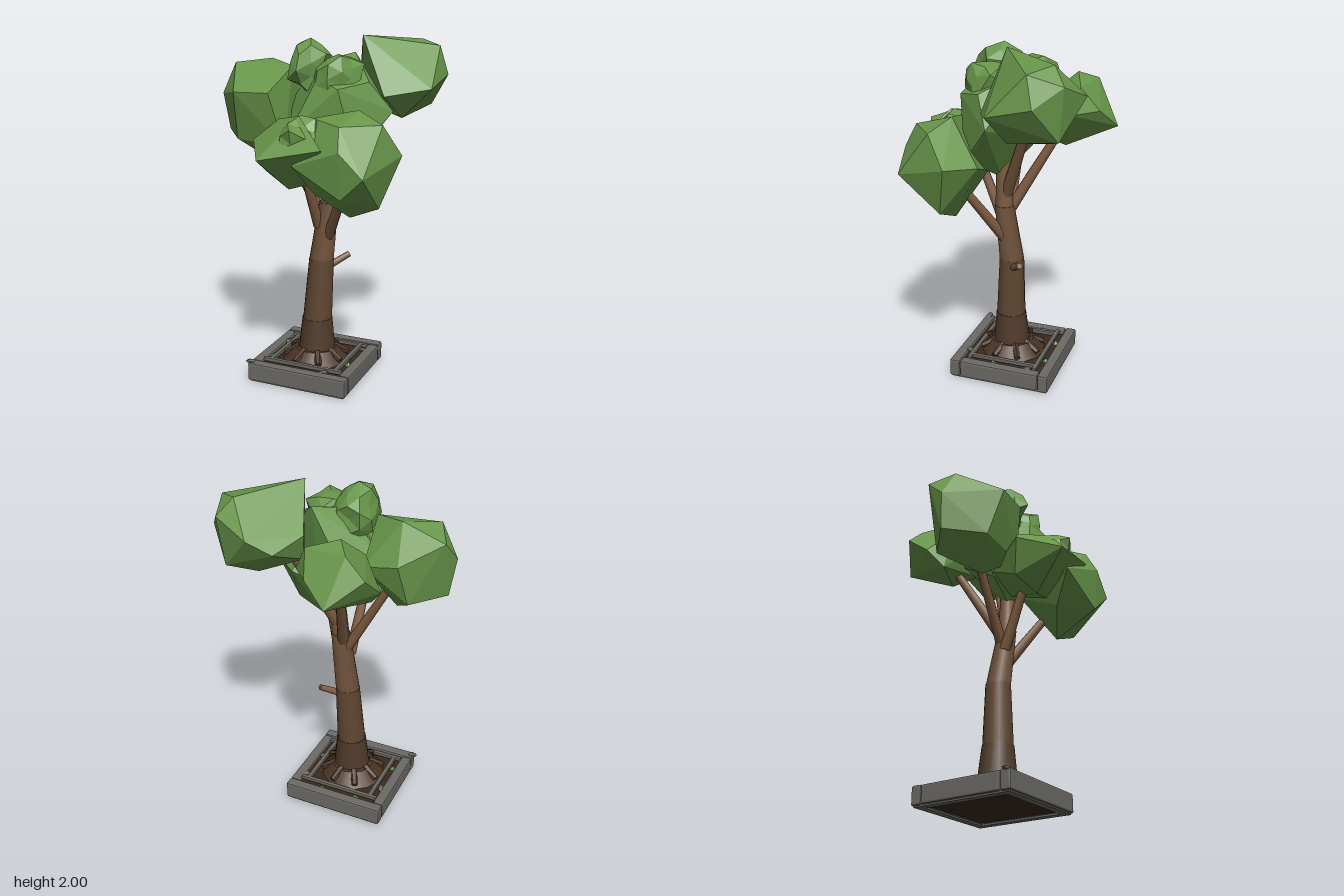
import * as THREE from 'three';
import { RoundedBoxGeometry } from 'three/addons/geometries/RoundedBoxGeometry.js';
import { ConvexGeometry } from 'three/addons/geometries/ConvexGeometry.js';

const mat = (color, flatShading = false) => new THREE.MeshStandardMaterial({ color, flatShading });
const LEAF = mat(0x68964a, true);
const STONE = mat(0x6c6a66, true);
const SOIL = mat(0x3a2a1c);
const ROOT = mat(0x4c3626, true);
const BRANCH = mat(0x7c5a3f);
const TRUNK = [0x4c3626, 0x503a29, 0x5f4631, 0x70523a, 0x7c5a3f].map((c) => mat(c));

function seeded(seed) {
  let s = seed * 7919 + 13;
  return () => (s = (s * 16807) % 2147483647) / 2147483647;
}

export function createModel() {
  const model = new THREE.Group();
  const add = (name, geometry, material, parent) => {
    const mesh = new THREE.Mesh(geometry, material);
    mesh.name = name;
    parent.add(mesh);
    return mesh;
  };
  const group = (name) => {
    const g = new THREE.Group();
    g.name = name;
    model.add(g);
    return g;
  };

  // Tapered round limb between two points
  const limb = (name, a, b, ra, rb, material, parent, sides = 10) => {
    const from = new THREE.Vector3(...a), to = new THREE.Vector3(...b);
    const dir = to.clone().sub(from);
    const mesh = add(name, new THREE.CylinderGeometry(rb, ra, dir.length(), sides), material, parent);
    mesh.position.copy(from).add(to).multiplyScalar(0.5);
    mesh.quaternion.setFromUnitVectors(new THREE.Vector3(0, 1, 0), dir.normalize());
  };

  // Planter: bevelled stone frame, soil and thin grate bars
  const planter = group('planter');
  const cx = -0.047, cz = 0.02, half = 0.308;
  const box = (name, w, h, d, x, y, z, material = STONE, bevel = 0.01) => {
    const mesh = add(name, new RoundedBoxGeometry(w, h, d, 1, bevel), material, planter);
    mesh.position.set(cx + x, y, cz + z);
  };
  for (const s of [-1, 1]) {
    box('frameBeamAcross', 2 * half, 0.108, 0.062, 0, 0.062, s * (half - 0.031));
    box('frameBeamSide', 0.062, 0.104, 2 * half - 0.128, s * (half - 0.031), 0.062, 0);
    box('frameFootAcross', 2 * half - 0.02, 0.02, 0.045, 0, 0.01, s * (half - 0.033), STONE, 0.004);
    box('frameFootSide', 0.045, 0.02, 2 * half - 0.02, s * (half - 0.033), 0.01, 0, STONE, 0.004);
    box('grateBarAcross', 0.5, 0.022, 0.024, 0, 0.114, s * 0.205, STONE, 0.004);
    box('grateBarSide', 0.024, 0.022, 0.42, s * 0.205, 0.112, 0, STONE, 0.004);
  }
  box('soil', 0.5, 0.08, 0.5, 0, 0.055, 0, SOIL, 0.004);

  // Loose chips and grass patches on the planter
  const chips = [[-0.3, 0.117, 0.28], [0.15, 0.112, 0.24], [-0.24, 0.105, -0.1], [0.24, 0.105, -0.16]];
  chips.forEach(([x, y, z], i) => {
    const chip = add('stoneChip', new THREE.DodecahedronGeometry(0.026), STONE, planter);
    chip.position.set(cx + x, y, cz + z);
    chip.scale.set(1.2, 0.45, 0.8);
    chip.rotation.y = i;
  });
  for (const [x, z] of [[-0.23, 0.12], [0.1, -0.235], [-0.12, -0.23], [0.23, 0.06]]) {
    const tuft = add('grassPatch', new THREE.ConeGeometry(0.025, 0.025, 5), LEAF, planter);
    tuft.position.set(cx + x, 0.105, cz + z);
  }

  // Trunk: level rings, each piece sheared from one centre to the next
  const trunk = group('trunk');
  const pieces = [
    // y0, x0, z0, r0, y1, x1, z1, r1
    [0.09, -0.05, 0.03, 0.2, 0.17, -0.045, 0.034, 0.13],
    [0.14, -0.038, 0.036, 0.113, 0.355, -0.033, 0.038, 0.09],
    [0.345, -0.033, 0.038, 0.087, 0.72, -0.012, 0.026, 0.073],
    [0.715, -0.012, 0.026, 0.072, 1.07, 0.045, 0.05, 0.056],
    [1.06, 0.045, 0.05, 0.052, 1.55, 0.08, 0.04, 0.036],
  ];
  pieces.forEach(([y0, x0, z0, r0, y1, x1, z1, r1], i) => {
    const g = new THREE.CylinderGeometry(r1, r0, y1 - y0, 14);
    g.translate(0, (y1 - y0) / 2, 0);
    const p = g.attributes.position;
    for (let k = 0; k < p.count; k++) {
      const t = p.getY(k) / (y1 - y0);
      p.setXYZ(k, p.getX(k) + x0 + (x1 - x0) * t, p.getY(k) + y0, p.getZ(k) + z0 + (z1 - z0) * t);
    }
    add(i ? 'trunkSection' : 'trunkFlare', g, TRUNK[i], trunk);
  });

  // Low roots around the foot
  for (let i = 0; i < 8; i++) {
    const a = (i / 8) * Math.PI * 2 + 0.3;
    const at = (r, y) => [-0.045 + r * Math.cos(a), y, 0.033 + r * Math.sin(a)];
    limb('root', at(0.1, 0.165), at(0.19, 0.122), 0.024, 0.018, ROOT, trunk, 6);
  }

  // Branches reaching into the crown
  const branches = group('branches');
  limb('frontBranch', [-0.01, 0.93, 0.07], [-0.04, 1.4, 0.27], 0.032, 0.022, BRANCH, branches);
  limb('frontLeftBranch', [0.04, 0.86, 0.05], [0.25, 1.27, 0.27], 0.032, 0.022, BRANCH, branches);
  limb('rightBranch', [0.0, 0.98, 0.04], [-0.33, 1.56, 0.05], 0.032, 0.02, BRANCH, branches);
  limb('backBranch', [0.02, 1.03, 0.03], [-0.1, 1.58, -0.28], 0.034, 0.022, BRANCH, branches);
  limb('backLeftBranch', [0.06, 1.15, 0.03], [0.25, 1.65, -0.17], 0.036, 0.024, BRANCH, branches);
  limb('branchStub', [0.04, 0.68, 0.0], [0.125, 0.735, -0.07], 0.022, 0.018, BRANCH, branches, 8);

  // Leaf clumps: faceted hulls around a few tips
  const crown = group('crown');
  const clump = (name, ...tips) =>
    add(name, new ConvexGeometry(tips.map((t) => new THREE.Vector3(...t))), LEAF, crown);
  clump('rightClump', [-0.62, 1.66, 0.06], [-0.59, 1.78, -0.06], [-0.52, 1.84, 0.08], [-0.35, 1.86, -0.05],
    [-0.17, 1.83, 0.06], [-0.59, 1.45, 0.04], [-0.43, 1.43, 0.24], [-0.4, 1.7, 0.33], [-0.2, 1.7, 0.31],
    [-0.38, 1.66, -0.18], [-0.18, 1.62, -0.16], [-0.28, 1.29, 0.1], [-0.14, 1.4, 0.24], [-0.42, 1.43, -0.12]);
  clump('backLeftClump', [0.21, 2.0, -0.03], [0.45, 1.97, -0.36], [0.58, 1.94, -0.26], [0.52, 1.88, -0.43],
    [0.62, 1.78, -0.3], [0.6, 1.72, -0.05], [0.32, 1.8, -0.49], [0.2, 1.72, -0.43], [0.5, 1.6, -0.4],
    [0.42, 1.55, -0.1], [0.36, 1.55, -0.3], [0.37, 1.68, 0.06], [0.11, 1.78, -0.26], [0.14, 1.62, -0.2]);
  clump('frontLeftClump', [0.26, 1.05, 0.26], [0.43, 1.12, 0.28], [0.1, 1.18, 0.36], [0.43, 1.32, 0.52],
    [0.3, 1.2, 0.5], [0.53, 1.4, 0.21], [0.46, 1.57, 0.32], [0.28, 1.57, 0.47], [0.3, 1.63, 0.25],
    [0.06, 1.58, 0.3], [0.02, 1.35, 0.48], [0.06, 1.27, 0.14], [0.37, 1.38, 0.08], [0.3, 1.45, 0.53]);
  clump('frontClump', [-0.28, 1.45, 0.33], [-0.15, 1.38, 0.55], [0.0, 1.45, 0.49], [-0.07, 1.19, 0.33],
    [-0.22, 1.26, 0.28], [0.2, 1.45, 0.51], [0.02, 1.6, 0.38], [-0.16, 1.56, 0.26], [0.1, 1.24, 0.3],
    [-0.18, 1.35, 0.1], [0.02, 1.28, 0.1]);
  clump('backClump', [-0.14, 1.54, -0.55], [-0.31, 1.68, -0.43], [-0.33, 1.55, -0.27], [0.0, 1.65, -0.48],
    [0.11, 1.64, -0.35], [-0.02, 1.66, -0.12], [-0.2, 1.7, -0.17], [-0.13, 1.83, -0.32], [-0.05, 1.43, -0.28],
    [-0.25, 1.45, -0.2], [-0.2, 1.79, -0.42], [0.04, 1.78, -0.38], [0.04, 1.5, -0.16]);
  clump('middleClump', [0.12, 1.9, -0.15], [0.0, 1.86, 0.0], [0.05, 1.78, 0.22], [0.18, 1.73, 0.25],
    [0.3, 1.76, 0.1], [0.41, 1.6, 0.02], [0.33, 1.48, 0.1], [0.06, 1.24, 0.06], [-0.16, 1.33, 0.1],
    [-0.2, 1.65, 0.0], [-0.08, 1.5, 0.29], [0.1, 1.5, -0.1], [-0.1, 1.5, -0.16], [0.26, 1.38, 0.2]);

  // Jagged tufts where the clumps meet
  const tuft = (center, radii, seed, jag) => {
    const rand = seeded(seed);
    const g = new THREE.IcosahedronGeometry(1, 1);
    const p = g.attributes.position, reach = new Map();
    for (let i = 0; i < p.count; i++) {
      const v = new THREE.Vector3().fromBufferAttribute(p, i);
      const key = v.toArray().map((n) => Math.round(n * 1000)).join();
      if (!reach.has(key)) reach.set(key, 1 - jag * rand());
      p.setXYZ(i, ...v.multiplyScalar(reach.get(key)).toArray());
    }
    g.scale(...radii);
    g.translate(...center);
    g.computeVertexNormals();
    add('leafTuft', g, LEAF, crown);
  };
  tuft([-0.05, 1.82, 0.08], [0.15, 0.17, 0.2], 10, 0.4);
  tuft([0.12, 1.78, 0.1], [0.17, 0.15, 0.17], 11, 0.3);
  tuft([0.02, 1.47, 0.36], [0.16, 0.14, 0.18], 12, 0.35);

  return model;
}
